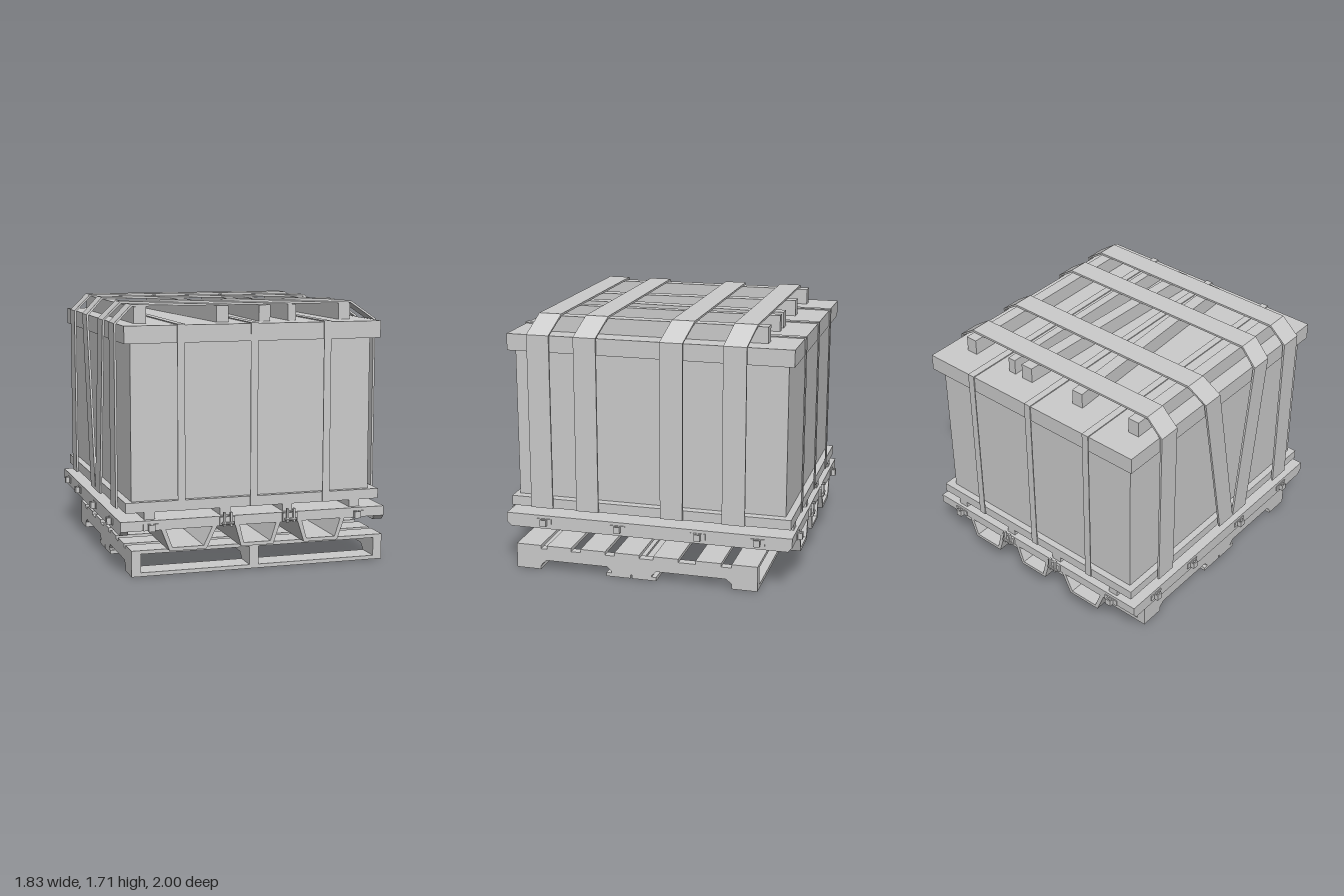
import * as THREE from 'three';

const material = new THREE.MeshStandardMaterial({ color: 0xcccccc, flatShading: true, side: THREE.DoubleSide });

export function createModel() {
  const model = new THREE.Group();
  const group = (name, parent = model) => {
    const g = new THREE.Group();
    g.name = name;
    parent.add(g);
    return g;
  };
  const add = (name, geometry, parent) => {
    const mesh = new THREE.Mesh(geometry, material);
    mesh.name = name;
    parent.add(mesh);
    return mesh;
  };
  // Box given by its limits on each axis
  const box = (name, [x0, x1], [y0, y1], [z0, z1], parent) => {
    const g = new THREE.BoxGeometry(x1 - x0, y1 - y0, z1 - z0);
    g.translate((x0 + x1) / 2, (y0 + y1) / 2, (z0 + z1) / 2);
    return add(name, g, parent);
  };
  const outline = (points) => new THREE.Shape(points.map(([a, b]) => new THREE.Vector2(a, b)));
  // Profile in x,y pulled along z
  const alongZ = (points, z0, z1) =>
    new THREE.ExtrudeGeometry(outline(points), { depth: z1 - z0, bevelEnabled: false }).translate(0, 0, z0);
  // Profile in z,y pulled along x
  const alongX = (points, x0, x1) =>
    new THREE.ExtrudeGeometry(outline(points), { depth: x1 - x0, bevelEnabled: false })
      .rotateY(-Math.PI / 2).translate(x1, 0, 0);
  // Loft through rings of four corners
  const loft = (rings) => {
    const pos = [];
    const quad = (a, b, c, d) => pos.push(...a, ...b, ...c, ...a, ...c, ...d);
    for (let i = 0; i + 1 < rings.length; i++)
      for (let k = 0; k < 4; k++) {
        const n = (k + 1) % 4;
        quad(rings[i][k], rings[i][n], rings[i + 1][n], rings[i + 1][k]);
      }
    const [a, b, c, d] = rings[0];
    quad(a, d, c, b);
    quad(...rings[rings.length - 1]);
    const g = new THREE.BufferGeometry();
    g.setAttribute('position', new THREE.Float32BufferAttribute(pos, 3));
    g.computeVertexNormals();
    return g;
  };

  // Wooden pallet: notched stringers between two decks
  const pallet = group('woodenPallet');
  const stringer = [
    [0.893, 0.025], [0.72, 0.025], [0.72, 0.035], [0.685, 0.065], [0.26, 0.065], [0.23, 0.035], [0.23, 0.025],
    [-0.045, 0.025], [-0.045, 0.035], [-0.075, 0.065], [-0.54, 0.065], [-0.58, 0.035], [-0.58, 0.025],
    [-0.75, 0.025], [-0.75, 0.145], [0.893, 0.145]];
  for (const x of [-0.80, -0.02, 0.84]) add('stringer', alongX(stringer, x, x + 0.06), pallet);
  for (const z of [[0.725, 0.893], [0.1, 0.265], [-0.075, 0.09], [-0.75, -0.58]])
    box('bottomBoard', [-0.8, 0.9], [0, 0.025], z, pallet);
  for (const z of [0.723, 0.51, 0.275, 0.04, -0.225, -0.51, -0.75])
    box('topBoard', [-0.8, 0.9], [0.145, 0.168], [z, z + 0.17], pallet);

  // Metal skid: flat platform on three trapezoid channels
  const skid = group('skid');
  box('platform', [-0.885, 0.88], [0.31, 0.373], [-0.965, 0.965], skid);
  for (const [t0, t1, b0, b1] of [[-0.625, -0.26, -0.57, -0.33], [-0.14, 0.165, -0.1, 0.115], [0.28, 0.605, 0.325, 0.555]]) {
    const w = 0.03;
    add('channel', alongZ([
      [t0, 0.312], [b0, 0.17], [b1, 0.17], [t1, 0.312], [t1 - w, 0.312],
      [b1 - w * 0.6, 0.192], [b0 + w * 0.6, 0.192], [t0 + w, 0.312]], -0.965, 0.965), skid);
  }
  for (const [x0, x1] of [[-0.885, -0.835], [0.815, 0.88]])
    add('edgeLip', alongX([[-0.965, 0.312], [-0.94, 0.282], [0.935, 0.282], [0.965, 0.312]], x0, x1), skid);

  // Lashing rings: a square loop on a thin plate, pointing to +z before turning
  const lashingRing = (x, z, turn) => {
    const g = group('lashingRing', skid);
    box('ringPlate', [-0.05, 0.05], [0.31, 0.352], [0, 0.006], g);
    for (const s of [-1, 1]) box('ringSide', [s * 0.017 - 0.004, s * 0.017 + 0.004], [0.308, 0.352], [0, 0.034], g);
    box('ringFront', [-0.021, 0.021], [0.308, 0.352], [0.026, 0.034], g);
    g.position.set(x, 0, z);
    g.rotation.y = turn;
  };
  // Hinge lugs with a cross pin
  const hingeLug = (x, z, turn) => {
    const g = group('hingeLug', skid);
    box('lugPlate', [-0.05, 0.05], [0.315, 0.37], [0, 0.014], g);
    for (const s of [-1, 1]) box('lugEar', [s * 0.022 - 0.007, s * 0.022 + 0.007], [0.31, 0.4], [0.01, 0.03], g);
    const pin = new THREE.CylinderGeometry(0.009, 0.009, 0.08, 8).rotateZ(Math.PI / 2);
    add('lugPin', pin.translate(0, 0.33, 0.025), g);
    g.position.set(x, 0, z);
    g.rotation.y = turn;
  };
  for (const z of [0.70, 0.19, -0.35, -0.74]) {
    lashingRing(0.88, z, Math.PI / 2);
    lashingRing(-0.885, z, -Math.PI / 2);
  }
  for (const [s, turn] of [[1, 0], [-1, Math.PI]]) {
    for (const x of [-0.69, 0.685]) lashingRing(x, s * 0.965, turn);
    for (const x of [-0.195, 0.225]) hingeLug(x, s * 0.965, turn);
  }

  // Crate with runners, base trim, lid and narrow bands
  const crate = group('crate');
  for (const [x0, x1] of [[-0.725, -0.655], [-0.23, -0.16], [0.19, 0.255], [0.65, 0.72]])
    box('runner', [x0, x1], [0.37, 0.422], [-0.945, 0.93], crate);
  box('baseTrim', [-0.845, 0.85], [0.42, 0.485], [-0.95, 0.935], crate);
  box('body', [-0.8, 0.79], [0.48, 1.48], [-0.905, 0.9], crate);
  box('lid', [-0.845, 0.85], [1.475, 1.585], [-0.95, 0.935], crate);
  for (const x of [-0.485, -0.007, 0.483]) {
    const w = [x - 0.024, x + 0.024];
    const band = group('narrowBand', crate);
    box('bandFront', w, [0.42, 1.592], [0.935, 0.942], band);
    box('bandBack', w, [0.42, 1.592], [-0.957, -0.95], band);
    box('bandTop', w, [1.585, 1.592], [-0.957, 0.942], band);
  }

  // Loose timbers on the lid, two of them lying askew: x limits at the back, then the front
  const timbers = group('timbers');
  for (const [b0, b1, f0, f1, end] of [
    [-0.74, -0.66, -0.74, -0.66, 0.75], [-0.29, -0.21, -0.21, -0.13, 0.78],
    [0.135, 0.22, 0.075, 0.15, 0.78], [0.28, 0.335, 0.28, 0.335, 0.75], [0.63, 0.71, 0.63, 0.71, 0.75]]) {
    const ring = (x0, x1, z) => [[x0, 1.585, z], [x1, 1.585, z], [x1, 1.69, z], [x0, 1.69, z]];
    add('timber', loft([ring(b0, b1, -0.755), ring(f0, f1, end)]), timbers);
  }

  // Wide straps over the timbers: near z at the right foot, right shoulder, top and left side
  const straps = group('wideStraps');
  const width = 0.15;
  for (const [foot, shoulder, top, left] of [
    [-0.69, -0.69, -0.69, -0.655], [-0.02, -0.25, -0.285, -0.245],
    [0.13, 0.275, 0.287, 0.325], [0.615, 0.615, 0.605, 0.64]]) {
    // outer x, outer y, inner x, inner y, near z
    const path = [
      [-0.87, 0.42, -0.856, 0.42, foot], [-0.87, 1.59, -0.856, 1.585, shoulder],
      [-0.755, 1.705, -0.75, 1.692, top], [0.72, 1.705, 0.715, 1.692, top],
      [0.875, 1.59, 0.861, 1.585, left], [0.875, 0.425, 0.861, 0.425, left]];
    add('wideStrap', loft(path.map(([x, y, u, v, z]) =>
      [[x, y, z], [x, y, z + width], [u, v, z + width], [u, v, z]])), straps);
  }

  return model;
}
